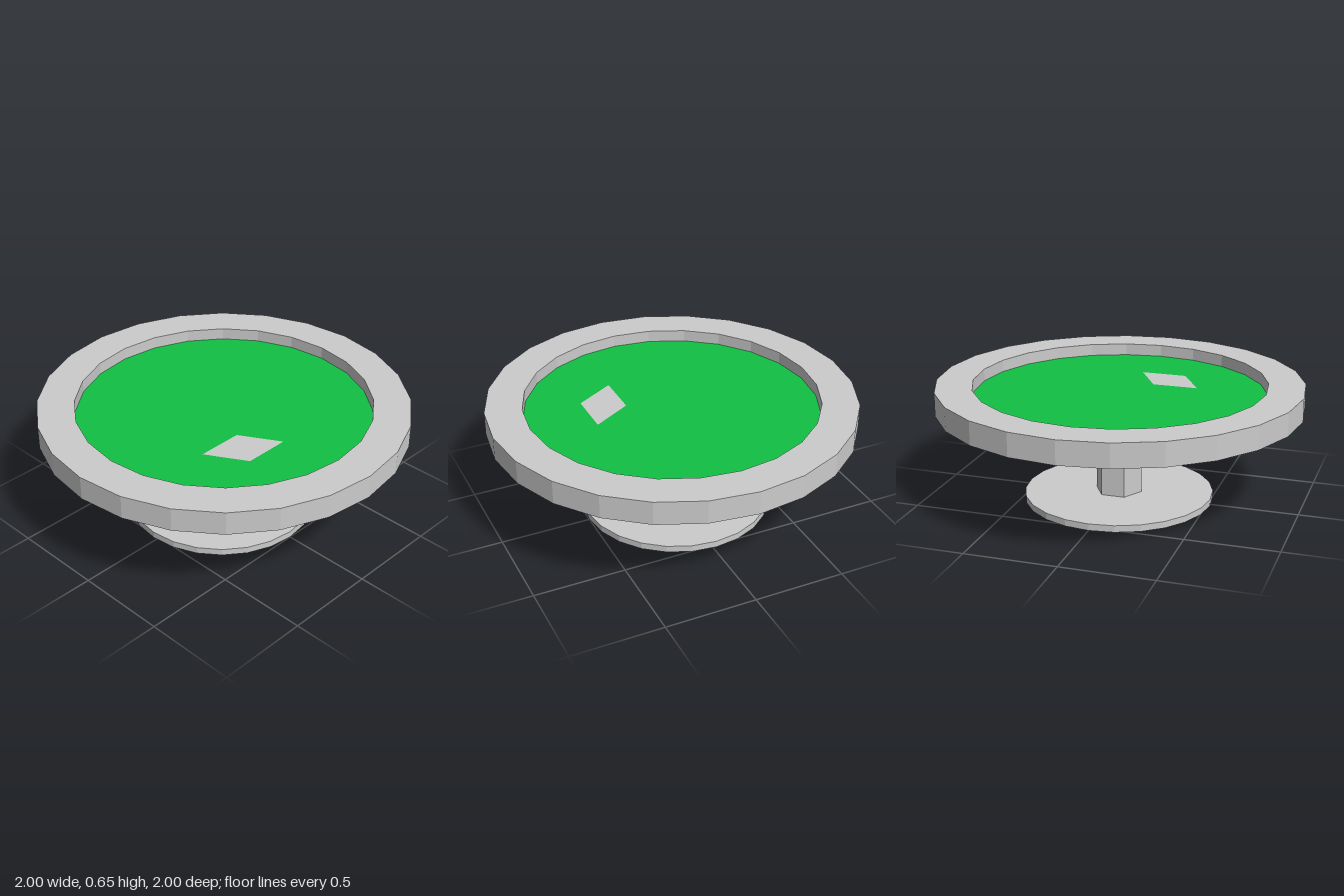
import * as THREE from 'three';

const SIDES = 24;
const BASE_TOP = 0.037, UNDER = 0.523, FELT = 0.585, TOP = 0.652;
const AXIS_X = -0.02;

const grey = new THREE.MeshStandardMaterial({ color: 0xcccccc, flatShading: true });
const greyThin = new THREE.MeshStandardMaterial({ color: 0xcccccc, flatShading: true, side: THREE.DoubleSide });
const green = new THREE.MeshStandardMaterial({ color: 0x12c044, flatShading: true, side: THREE.DoubleSide });

const toShape = (pts) => new THREE.Shape(pts.map(([x, z]) => new THREE.Vector2(x, z)));

// Regular outline in the x/z plane with a corner at +z
function ring(radius) {
  return Array.from({ length: SIDES }, (_, i) => {
    const a = (i / SIDES) * Math.PI * 2;
    return [radius * Math.sin(a), radius * Math.cos(a)];
  });
}

// Flat horizontal panel; faces down, or up when asked
function panel(shape, y, up = false) {
  const geo = new THREE.ShapeGeometry(shape);
  geo.rotateX(Math.PI / 2);
  if (up) {
    const idx = geo.index;
    for (let i = 0; i < idx.count; i += 3) {
      const a = idx.getX(i);
      idx.setX(i, idx.getX(i + 1));
      idx.setX(i + 1, a);
    }
    geo.computeVertexNormals();
  }
  return geo.translate(0, y, 0);
}

// Vertical walls around a closed outline
function walls(pts, y0, y1) {
  const pos = [];
  pts.forEach(([ax, az], i) => {
    const [bx, bz] = pts[(i + 1) % pts.length];
    pos.push(ax, y0, az, bx, y0, bz, bx, y1, bz, ax, y0, az, bx, y1, bz, ax, y1, az);
  });
  const geo = new THREE.BufferGeometry();
  geo.setAttribute('position', new THREE.Float32BufferAttribute(pos, 3));
  geo.computeVertexNormals();
  return geo;
}

export function createModel() {
  const group = new THREE.Group();
  const add = (name, geo, mat) => {
    const mesh = new THREE.Mesh(geo, mat);
    mesh.name = name;
    group.add(mesh);
  };

  // Foot disc and hexagonal column
  add('base', new THREE.CylinderGeometry(0.52, 0.52, BASE_TOP, SIDES)
    .translate(AXIS_X, BASE_TOP / 2, 0), grey);
  add('column', new THREE.CylinderGeometry(0.13, 0.13, UNDER - BASE_TOP, 6, 1, true)
    .translate(AXIS_X, (UNDER + BASE_TOP) / 2, 0), grey);

  // Raised rim: outer wall, flat top and inner wall
  const profile = [[1, UNDER], [1, TOP], [0.8, TOP], [0.8, FELT]];
  add('rim', new THREE.LatheGeometry(profile.map(([r, y]) => new THREE.Vector2(r, y)), SIDES), grey);

  // Underside with a slanted pocket reaching up to the felt
  const pocket = [[0.43, 0.285], [0.43, -0.2], [0.205, -0.085], [0.205, 0.4]];
  const underside = toShape(ring(1));
  underside.holes.push(new THREE.Path(pocket.map(([x, z]) => new THREE.Vector2(x, z))));
  add('underside', panel(underside, UNDER), grey);
  add('pocketWalls', walls(pocket, UNDER, FELT), greyThin);

  // Recessed playing surface with a flat card on it
  add('felt', panel(toShape(ring(0.8)), FELT, true), green);
  const card = [[0.215, 0.125], [0.43, 0], [0.43, 0.25], [0.215, 0.375]];
  add('card', panel(toShape(card), FELT + 0.002, true), grey);

  // Small coloured patch under the front edge
  const patch = [[-0.085, 0.988], [-0.085, 0.78], [-0.259, 0.72], [-0.259, 0.966]];
  add('undersidePatch', panel(toShape(patch), UNDER - 0.002), green);

  return group;
}
